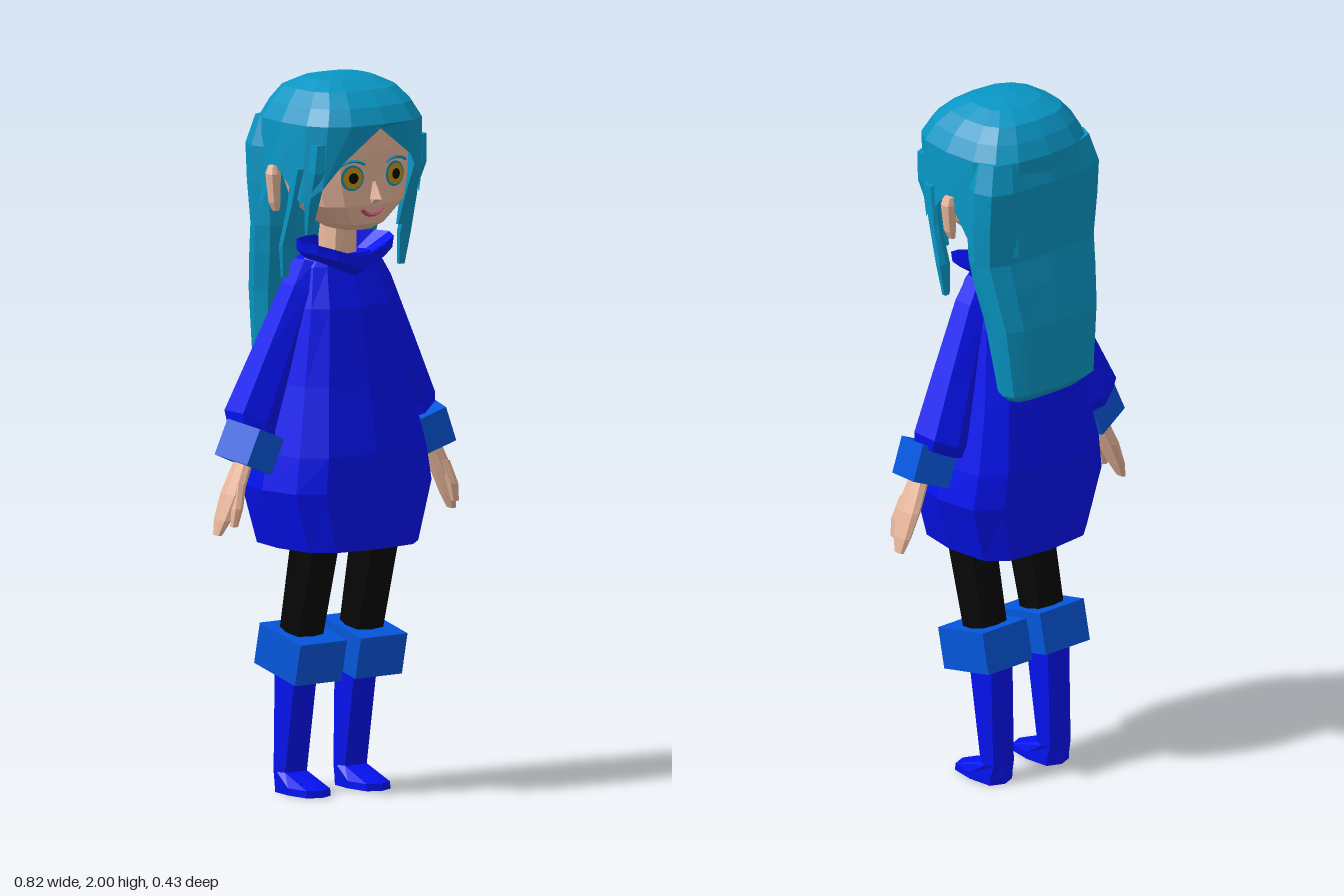
import * as THREE from 'three';

const material = (color) => new THREE.MeshStandardMaterial({ color, flatShading: true, side: THREE.DoubleSide });
const HAIR = material(0x0896c4), DRESS = material(0x0412f0), CUFF = material(0x0456dc);
const SKIN = material(0xeab79c), BLACK = material(0x060606), GOLD = material(0xc9920f), LIP = material(0xc0506e);

// Rounded-square cross-section: centre x, height, half width, front z, back z, slope along x
function ring([cx, y, rx, zf, zb, slope = 0], n = 12, p = 0.65) {
  const soft = (v) => Math.sign(v) * Math.pow(Math.abs(v) < 1e-6 ? 0 : Math.abs(v), p);
  return Array.from({ length: n }, (_, i) => {
    const a = (i / n) * Math.PI * 2, dx = rx * soft(Math.sin(a));
    return [cx + dx, y + dx * slope, (zf + zb) / 2 + ((zf - zb) / 2) * soft(Math.cos(a))];
  });
}

// Skin over sections listed from bottom to top
function loft(sections, capBottom = true, capTop = true) {
  const n = sections[0].length, pos = sections.flat(2), idx = [];
  for (let r = 0; r < sections.length - 1; r++) {
    for (let i = 0; i < n; i++) {
      const a = r * n + i, b = r * n + ((i + 1) % n);
      idx.push(a, b, b + n, a, b + n, a + n);
    }
  }
  const cap = (r, up) => {
    const c = pos.length / 3;
    for (let k = 0; k < 3; k++) pos.push(sections[r].reduce((s, v) => s + v[k], 0) / n);
    for (let i = 0; i < n; i++) {
      const a = r * n + i, b = r * n + ((i + 1) % n);
      if (up) idx.push(a, b, c); else idx.push(b, a, c);
    }
  };
  if (capBottom) cap(0, false);
  if (capTop) cap(sections.length - 1, true);
  const g = new THREE.BufferGeometry();
  g.setAttribute('position', new THREE.Float32BufferAttribute(pos, 3));
  g.setIndex(idx);
  const flat = g.toNonIndexed();
  flat.computeVertexNormals();
  return flat;
}

export function createModel() {
  const model = new THREE.Group();
  const add = (name, geometry, mat, pos = [0, 0, 0], rot = [0, 0, 0]) => {
    const mesh = new THREE.Mesh(geometry, mat);
    mesh.name = name;
    mesh.position.set(...pos);
    mesh.rotation.set(...rot);
    model.add(mesh);
  };
  const body = (name, rows, mat, n = 12, p = 0.65, bottom = true, top = true) =>
    add(name, loft(rows.map((r) => ring(r, n, p)), bottom, top), mat);

  // Head and neck
  body('head', [
    [0, 1.575, 0.05, 0.12, -0.02], [0, 1.595, 0.085, 0.153, -0.04], [0, 1.65, 0.15, 0.172, -0.07],
    [0, 1.72, 0.17, 0.172, -0.1], [0, 1.8, 0.18, 0.175, -0.13], [0, 1.89, 0.16, 0.17, -0.12],
  ], SKIN, 12, 0.7);
  body('neck', [[0, 1.42, 0.05, 0.05, -0.05], [0, 1.62, 0.042, 0.055, -0.04]], SKIN, 8);
  body('nose', [[0, 1.655, 0.012, 0.18, 0.15], [0, 1.668, 0.016, 0.204, 0.15], [0, 1.715, 0.006, 0.176, 0.16]],
    SKIN, 6, 0.9);
  add('mouth', new THREE.TorusGeometry(0.045, 0.006, 4, 10, Math.PI * 0.6), LIP,
    [0, 1.666, 0.167], [0.12, 0, Math.PI * 1.2]);

  // Dress, open at the hem
  body('dress', [
    [0, 0.695, 0.205, 0.187, -0.178], [0, 0.86, 0.255, 0.19, -0.19], [0, 0.96, 0.238, 0.187, -0.197],
    [0, 1.15, 0.195, 0.147, -0.165], [0, 1.36, 0.155, 0.112, -0.115], [0, 1.47, 0.125, 0.072, -0.08],
    [0, 1.5, 0.1, 0.06, -0.065],
  ], DRESS, 12, 0.62, false);

  // Folded collar with a shallow V at the front
  const collarRows = [[0, 1.49, 0.11, 0.08, -0.05], [0, 1.515, 0.145, 0.122, -0.05],
    [0, 1.546, 0.152, 0.118, -0.04], [0, 1.5, 0.09, 0.06, -0.035]];
  const collar = collarRows.map((r) => ring(r, 12, 0.85).map(([x, y, z], i) =>
    [x, y - (i < 3 || i > 9 ? 0.05 * (1 - Math.abs(x) / r[2]) : 0), z]));
  add('collar', loft(collar, false, false), DRESS);

  // Hair cap: the lowest ring follows the hairline
  const hairline = [1.866, 1.785, 1.705, 1.66, 1.76, 1.62, 1.6, 1.6, 1.6];
  const edge = ring([0, 0, 0.215, 0.2, -0.182], 16, 0.7)
    .map(([x, , z], i) => [x, hairline[Math.min(i, 16 - i)], z]);
  const dome = [[0, 1.88, 0.206, 0.218, -0.178], [0, 1.925, 0.18, 0.192, -0.155],
    [0, 1.965, 0.146, 0.146, -0.125], [0, 1.99, 0.095, 0.085, -0.07], [0, 2.0, 0.03, 0.035, -0.015]];
  add('hairCap', loft([edge, ...dome.map((r) => ring(r, 16, 0.7))], false), HAIR);

  // Long hair down the back
  body('backHair', [
    [0, 1.165, 0.12, -0.115, -0.18], [0, 1.195, 0.158, -0.105, -0.212], [0, 1.39, 0.18, -0.07, -0.208],
    [0, 1.5, 0.197, -0.04, -0.186], [0, 1.58, 0.207, -0.027, -0.168], [0, 1.7, 0.214, -0.025, -0.178],
    [0, 1.8, 0.214, -0.025, -0.186], [0, 1.88, 0.19, -0.03, -0.165],
  ], HAIR, 12, 0.65);

  for (const s of [1, -1]) {
    const side = s > 0 ? 'left' : 'right';

    // Eye: rim, iris, pupil, brow
    const turn = [0, 0.16 * s, 0];
    [['EyeRim', 0.036, HAIR], ['Iris', 0.03, GOLD], ['Pupil', 0.015, BLACK]].forEach(([part, r, mat], i) =>
      add(side + part, new THREE.CircleGeometry(r, 14), mat, [0.073 * s, 1.73, 0.168 + i * 0.003], turn));
    add(side + 'Brow', new THREE.TorusGeometry(0.07, 0.004, 4, 8, Math.PI * 0.36), HAIR,
      [0.075 * s, 1.707, 0.172], [0, 0.16 * s, Math.PI * 0.32]);
    body(side + 'Ear', [
      [0.207 * s, 1.632, 0.008, 0.008, -0.014], [0.212 * s, 1.655, 0.014, 0.014, -0.018],
      [0.217 * s, 1.735, 0.019, 0.018, -0.022], [0.215 * s, 1.758, 0.012, 0.01, -0.018],
    ], SKIN, 8, 0.7);

    // Loose locks around the ear
    body(side + 'FrontLock', [
      [0.157 * s, 1.57, 0.008, 0.085, 0.07], [0.165 * s, 1.66, 0.018, 0.125, 0.085],
      [0.172 * s, 1.75, 0.022, 0.165, 0.11], [0.17 * s, 1.83, 0.02, 0.17, 0.12],
    ], HAIR, 6);
    body(side + 'SideLock', [
      [0.2 * s, 1.45, 0.01, 0.036, 0.02], [0.203 * s, 1.54, 0.02, 0.05, 0.025],
      [0.203 * s, 1.65, 0.015, 0.085, 0.055], [0.2 * s, 1.76, 0.015, 0.115, 0.07],
    ], HAIR, 6);

    // Arm: sleeve, cuff, hand, thumb
    body(side + 'Sleeve', [
      [0.275 * s, 1.02, 0.06, 0.04, -0.09, 0.45 * s], [0.273 * s, 1.055, 0.064, 0.042, -0.105, 0.45 * s],
      [0.205 * s, 1.22, 0.056, 0.045, -0.08, 0.4 * s], [0.13 * s, 1.41, 0.04, 0.05, -0.055, 0.4 * s],
      [0.1 * s, 1.485, 0.03, 0.04, -0.045, 0.2 * s],
    ], DRESS, 6, 0.8);
    add(side + 'SleeveCuff', new THREE.BoxGeometry(0.115, 0.105, 0.12), CUFF, [0.3 * s, 0.985, 0],
      [0.15, -0.2 * s, 0.4 * s]);
    body(side + 'Hand', [
      [0.402 * s, 0.748, 0.008, 0.006, -0.026], [0.388 * s, 0.79, 0.015, 0.026, -0.037],
      [0.36 * s, 0.86, 0.02, 0.042, -0.042], [0.335 * s, 0.915, 0.02, 0.036, -0.036],
      [0.305 * s, 0.98, 0.02, 0.025, -0.025],
    ], SKIN, 8, 0.75);
    body(side + 'Thumb', [
      [0.38 * s, 0.775, 0.01, 0.046, 0.026], [0.37 * s, 0.825, 0.014, 0.053, 0.022],
      [0.35 * s, 0.89, 0.014, 0.04, 0.01],
    ], SKIN, 6);

    // Leg: stocking, boot cuff, boot
    body(side + 'Leg', [[0.103 * s, 0.4, 0.054, 0.015, -0.085], [0.103 * s, 0.82, 0.055, 0.135, -0.005]],
      BLACK, 8, 0.6);
    add(side + 'BootCuff', new THREE.BoxGeometry(0.16, 0.118, 0.19), CUFF, [0.104 * s, 0.394, -0.026],
      [0.22, 0, 0]);
    body(side + 'Boot', [
      [0.103 * s, 0, 0.05, 0.072, -0.107], [0.103 * s, 0.02, 0.05, 0.07, -0.108],
      [0.103 * s, 0.058, 0.046, -0.042, -0.107], [0.103 * s, 0.38, 0.048, 0.015, -0.104],
    ], DRESS, 8, 0.6);
  }
  return model;
}
